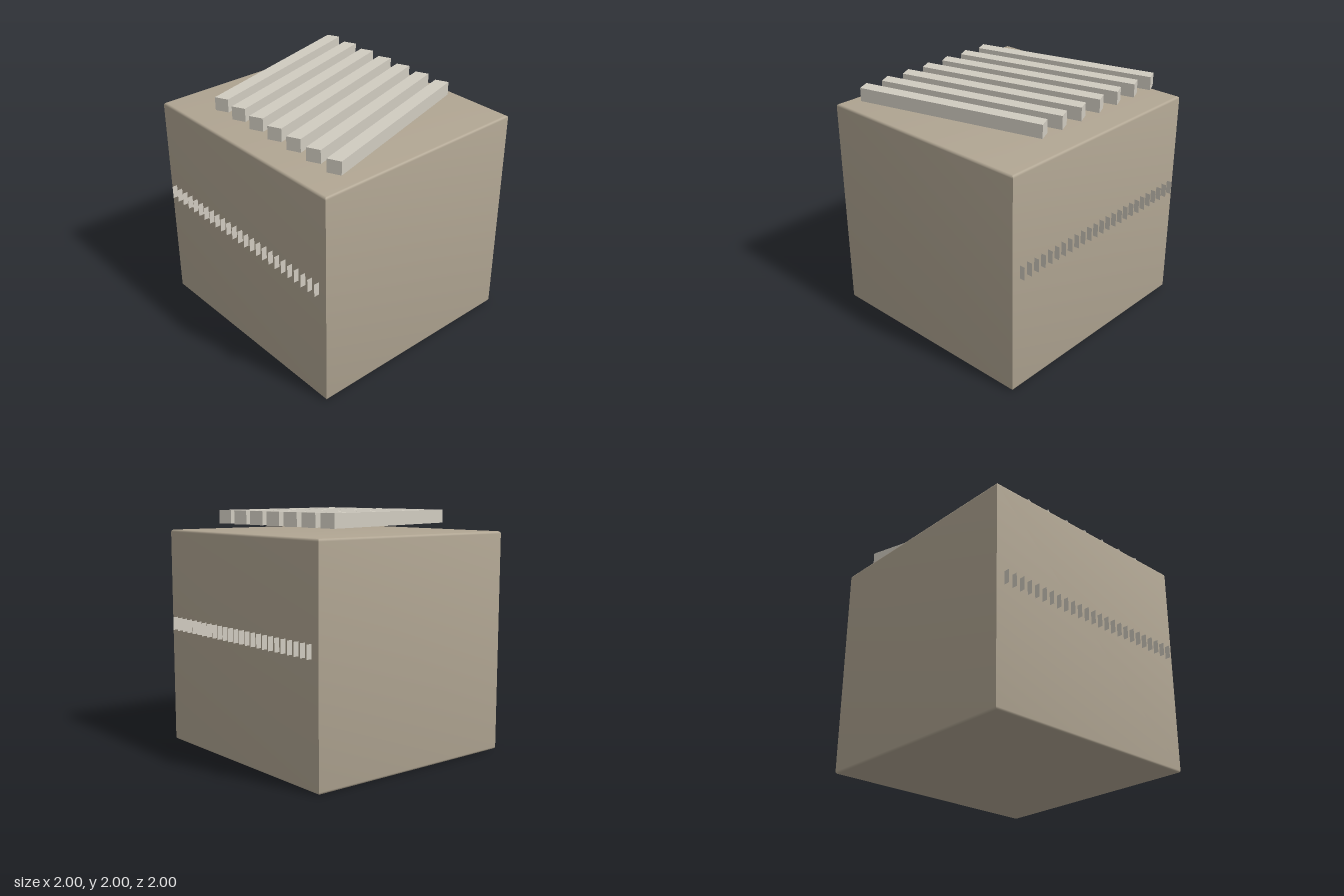
import * as THREE from 'three';
import { toCreasedNormals } from 'three/addons/utils/BufferGeometryUtils.js';

export function createModel() {
  const model = new THREE.Group();
  const bodyMat = new THREE.MeshStandardMaterial({ color: 0xb0a592 });
  const trimMat = new THREE.MeshStandardMaterial({ color: 0xd0cbc0 });
  const finMat = new THREE.MeshStandardMaterial({ color: 0xd0cbc0, side: THREE.DoubleSide });

  const add = (name, geometry, material, parent = model) => {
    const mesh = new THREE.Mesh(geometry, material);
    mesh.name = name;
    parent.add(mesh);
    return mesh;
  };

  // Extrudes an outline given as [x, z] pairs upwards from y = 0
  const prism = (points, options) => {
    const shape = new THREE.Shape(points.map(([x, z]) => new THREE.Vector2(x, -z)));
    return new THREE.ExtrudeGeometry(shape, options).rotateX(-Math.PI / 2);
  };

  // Body: block with softly rounded top and bottom edges
  const r = 0.02, hx = 1, hz = 0.955, height = 1.83;
  const bodyGeo = prism([[-hx, hz], [hx, hz], [hx, -hz], [-hx, -hz]], {
    depth: height - 2 * r, bevelEnabled: true, bevelThickness: r,
    bevelSize: r, bevelOffset: -r, bevelSegments: 4,
  }).translate(0, r, 0);
  add('body', toCreasedNormals(bodyGeo, 0.6), bodyMat);

  // Seven slanted bars hovering just above the top
  const bars = new THREE.Group();
  bars.name = 'topBars';
  model.add(bars);
  const barGeo = prism([[-0.26, -0.742], [0.157, 0.787], [0.26, 0.738], [-0.157, -0.787]], {
    depth: 0.11, bevelEnabled: false,
  });
  for (let i = 0; i < 7; i++) {
    add('topBar', barGeo, trimMat, bars).position.set((i - 3) * 0.22, 1.89, 0);
  }

  // Rows of paper-thin vertical fins across the front and back
  const finGeo = new THREE.PlaneGeometry(0.055, 0.11).rotateY(Math.PI / 2);
  for (const side of [1, -1]) {
    const row = new THREE.Group();
    row.name = side > 0 ? 'frontFins' : 'backFins';
    model.add(row);
    for (let i = 0; i < 25; i++) {
      add('fin', finGeo, finMat, row).position.set((i - 12) * 0.0768, 1.035, side * 0.9725);
    }
  }
  return model;
}
